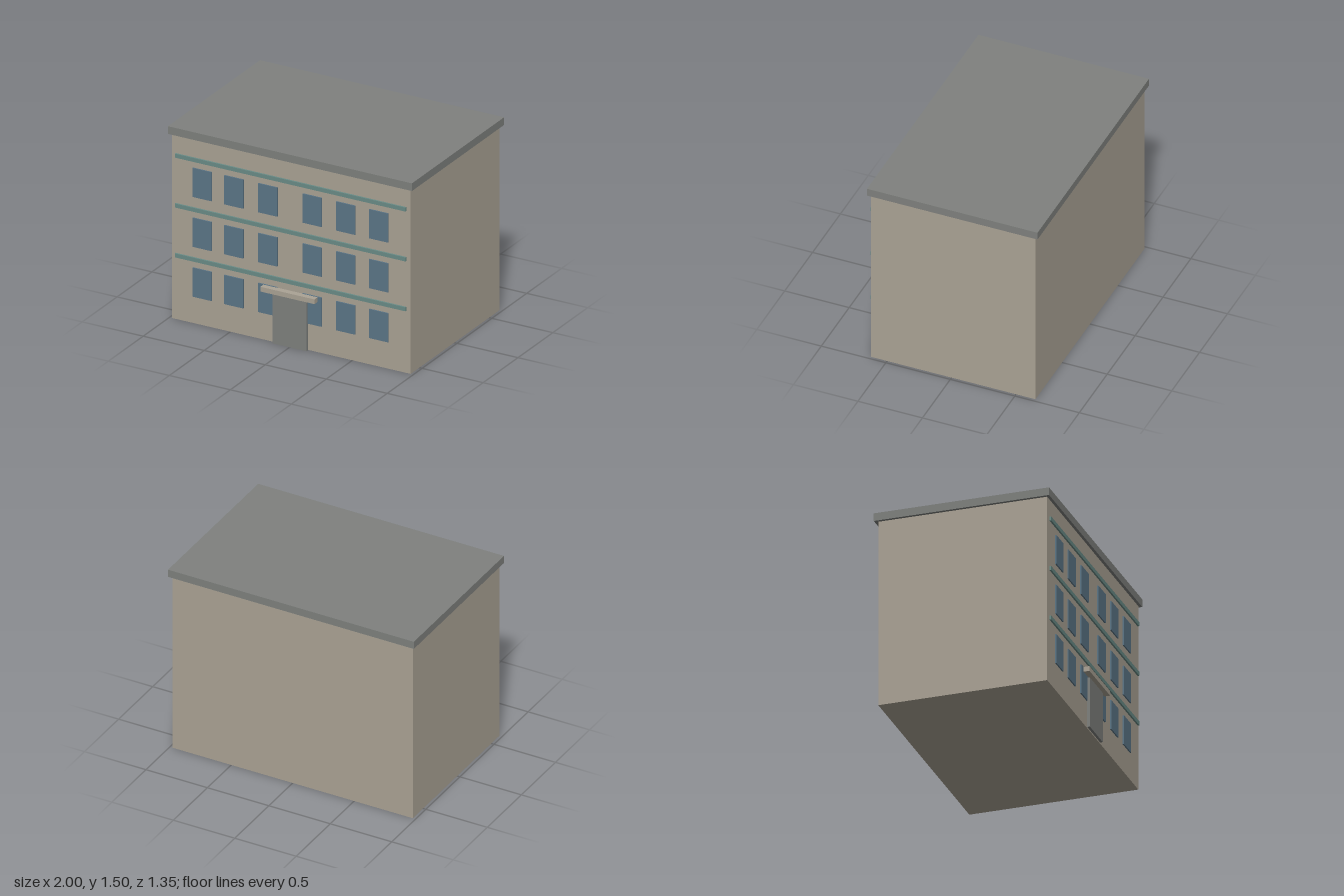
import * as THREE from 'three';

const material = (name, color) => {
  const m = new THREE.MeshStandardMaterial({ color });
  m.name = name;
  return m;
};

export function createModel() {
  const model = new THREE.Group();
  model.name = 'building';

  const wall = material('beige wall', 0xaba395);
  const grey = material('grey', 0x7f817e);
  const glass = material('blue glass', 0x5c7687);
  const teal = material('teal trim', 0x6a8c87);

  // Box given by its extents along each axis
  const box = (name, mat, [x0, x1], [y0, y1], [z0, z1], parent = model) => {
    const mesh = new THREE.Mesh(new THREE.BoxGeometry(x1 - x0, y1 - y0, z1 - z0), mat);
    mesh.position.set((x0 + x1) / 2, (y0 + y1) / 2, (z0 + z1) / 2);
    mesh.name = name;
    parent.add(mesh);
  };

  // Main block and overhanging roof slab
  box('walls', wall, [-0.977, 0.977], [0, 1.44], [-0.65, 0.624]);
  box('roof', grey, [-1, 1], [1.44, 1.5], [-0.676, 0.646]);

  // Three floors, each with six windows and a trim band above
  const windowCentres = [-0.729, -0.468, -0.19, 0.174, 0.449, 0.719];
  for (let floor = 0; floor < 3; floor++) {
    const storey = new THREE.Group();
    storey.name = 'storey';
    storey.position.y = floor * 0.389;
    model.add(storey);
    for (const x of windowCentres) {
      box('window', glass, [x - 0.078, x + 0.078], [0.209, 0.435], [0.62, 0.634], storey);
    }
    box('trimBand', teal, [-0.945, 0.945], [0.488, 0.519], [0.63, 0.643], storey);
  }

  // Entrance
  box('door', grey, [-0.139, 0.139], [0, 0.386], [0.631, 0.651]);
  box('canopy', wall, [-0.224, 0.22], [0.396, 0.433], [0.631, 0.678]);

  return model;
}
